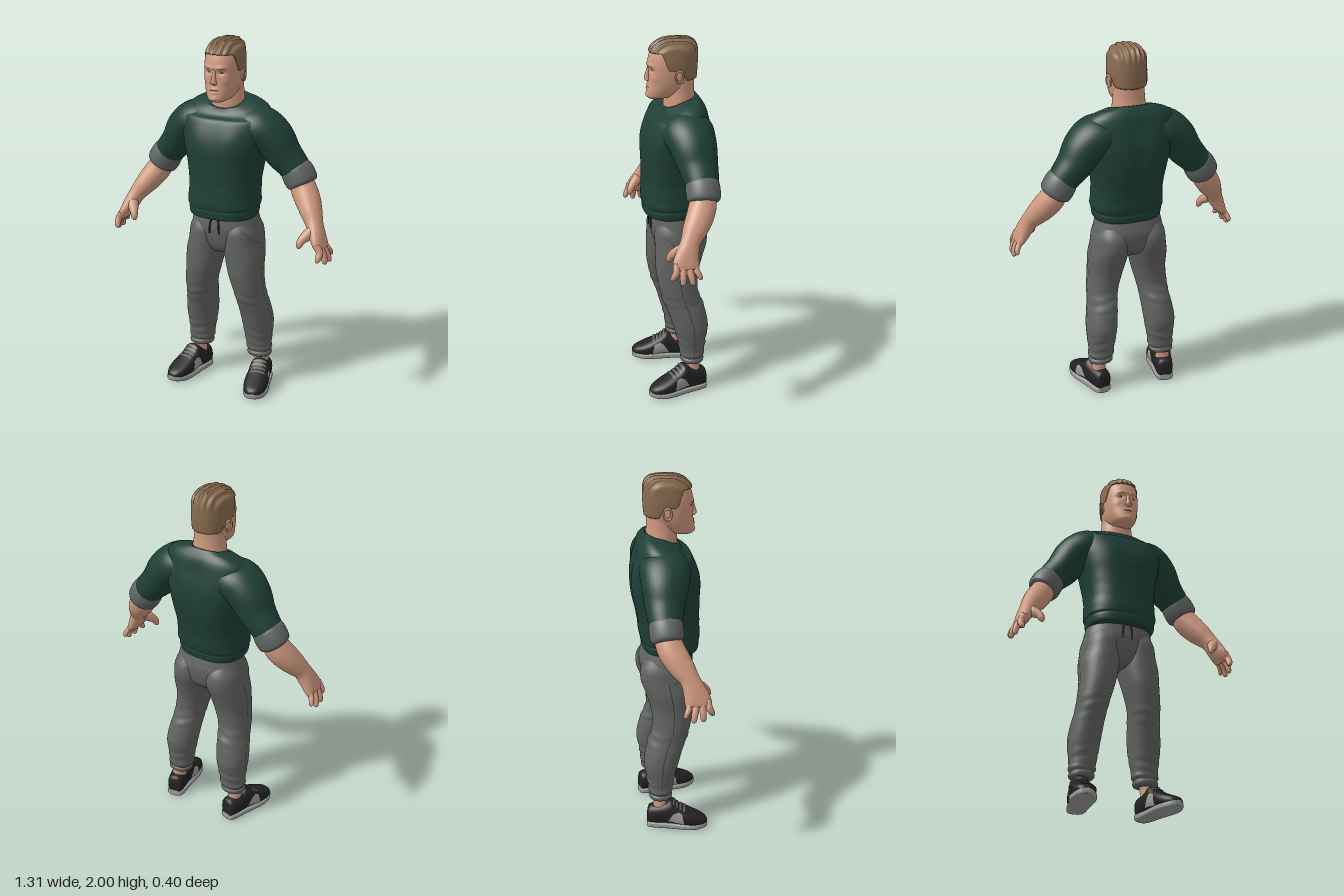
import * as THREE from 'three';

const { smoothstep, lerp, degToRad } = THREE.MathUtils;
const mat = (name, color) => { const m = new THREE.MeshStandardMaterial({ color }); m.name = name; return m; };
const M = {
  skin: mat('skin', 0xd09a80), lip: mat('lip', 0xbd7e6b), hair: mat('hair', 0x8a6d50),
  sweater: mat('sweater green', 0x1f4037), cuff: mat('cuff grey', 0x616665), pants: mat('pants grey', 0x626462),
  seam: mat('seam dark', 0x303231), shoe: mat('shoe black', 0x222222), sole: mat('sole light grey', 0x9c9c9c),
  eye: mat('eye white', 0xcfc4ba),
};
const Y = new THREE.Vector3(0, 1, 0), DOWN = new THREE.Vector3(0, -1, 0), Z = new THREE.Vector3(0, 0, 1);
const bell = (d, w) => Math.exp(-(d * d) / (w * w));

// Surface through sections [x, y, z, ru, rv]: returns f(section index, angle, offset)
function surface(S, { t, v = Z, p = 2, deform } = {}) {
  const at = k => {
    const i = Math.min(Math.floor(k), S.length - 2), a = k - i;
    const P = j => S[Math.max(0, Math.min(S.length - 1, j))];
    return S[0].map((_, c) => {
      const [p0, p1, p2, p3] = [P(i - 1)[c], P(i)[c], P(i + 1)[c], P(i + 2)[c]];
      return p1 + 0.5 * a * (p2 - p0 + a * (2 * p0 - 5 * p1 + 4 * p2 - p3 + a * (3 * (p1 - p2) + p3 - p0)));
    });
  };
  const pw = x => Math.sign(x) * Math.abs(x) ** (2 / p);
  const f = (k, th, off = 0) => {
    const s = at(k), c = new THREE.Vector3(s[0], s[1], s[2]);
    const T = t ? t.clone() : new THREE.Vector3(...at(Math.min(k + 0.05, S.length - 1)).slice(0, 3))
      .sub(new THREE.Vector3(...at(Math.max(k - 0.05, 0)).slice(0, 3))).normalize();
    const V = v.clone().addScaledVector(T, -v.dot(T)).normalize(), U = T.clone().cross(V);
    c.addScaledVector(U, pw(Math.cos(th)) * (s[3] + off)).addScaledVector(V, pw(Math.sin(th)) * (s[4] + off));
    if (deform) deform(c);
    return c;
  };
  f.last = S.length - 1;
  return f;
}

function indexed(pos, idx) {
  const g = new THREE.BufferGeometry();
  g.setAttribute('position', new THREE.Float32BufferAttribute(pos, 3));
  g.setIndex(idx);
  g.computeVertexNormals();
  return g;
}

// Closed skin over a surface, with end caps
function loft(f, n = 36, step = 5) {
  const pos = [], idx = [], rows = f.last * step;
  for (let i = 0; i <= rows; i++)
    for (let j = 0; j < n; j++) pos.push(...f(i / step, (j / n) * Math.PI * 2).toArray());
  for (let i = 0; i < rows; i++)
    for (let j = 0; j < n; j++) {
      const a = i * n + j, c = i * n + (j + 1) % n;
      idx.push(a, a + n, c, a + n, c + n, c);
    }
  for (const r of [0, rows]) {
    const mid = new THREE.Vector3(), m = pos.length / 3;
    for (let j = 0; j < n; j++) mid.add(new THREE.Vector3().fromArray(pos, (r * n + j) * 3));
    pos.push(...mid.divideScalar(n).toArray());
    for (let j = 0; j < n; j++) {
      const a = r * n + j, c = r * n + (j + 1) % n;
      r ? idx.push(m, a, c) : idx.push(m, c, a);
    }
  }
  for (let i = rows * n * 6; i < idx.length; i += 3) [idx[i], idx[i + 1]] = [idx[i + 1], idx[i]];
  return indexed(pos, idx);
}

// Thin piece lying on a surface between two angles and two section indices
function patch(f, th0, th1, k0, k1, off = 0.003, n = 16, rows = 8) {
  const pos = [], idx = [], val = (q, th) => (typeof q === 'function' ? q(th) : q);
  for (let i = 0; i <= rows; i++)
    for (let j = 0; j <= n; j++) {
      const th = lerp(th0, th1, j / n);
      pos.push(...f(lerp(val(k0, th), val(k1, th), i / rows), th, val(off, i)).toArray());
    }
  for (let i = 0; i < rows; i++)
    for (let j = 0; j < n; j++) {
      const a = i * (n + 1) + j, b = a + n + 1;
      idx.push(a, b, a + 1, b, b + 1, a + 1);
    }
  return indexed(pos, idx);
}

function mirrored(g) {
  const m = g.clone().scale(-1, 1, 1), ix = m.index.array;
  for (let i = 0; i < ix.length; i += 3) [ix[i], ix[i + 1]] = [ix[i + 1], ix[i]];
  return m;
}

const tube = (pts, r) => new THREE.TubeGeometry(new THREE.CatmullRomCurve3(pts.map(q => new THREE.Vector3(...q))), 14, r, 8);
const ball = (x, y, z, a, b, c) => new THREE.SphereGeometry(1, 20, 14).scale(a, b, c).translate(x, y, z);

export function createModel() {
  const model = new THREE.Group();
  model.name = 'standingMan';
  const add = (name, g, m) => { const o = new THREE.Mesh(g, m); o.name = name; model.add(o); };
  const pair = (name, g, m) => { add(name + 'Left', g, m); add(name + 'Right', mirrored(g), m); };

  // Head, sculpted with soft bumps [x, y, depth, width, height]
  const bumps = [[0.038, 1.832, -0.012, 0.02, 0.012], [0.035, 1.857, 0.006, 0.03, 0.011], [0.062, 1.79, 0.005, 0.02, 0.02],
    [0, 1.692, 0.005, 0.025, 0.014], [0, 1.744, 0.005, 0.022, 0.006], [0, 1.726, 0.005, 0.02, 0.006], [0, 1.735, -0.004, 0.028, 0.003]];
  const head = surface([[0, 1.672, 0.095, 0.034, 0.036], [0, 1.685, 0.07, 0.057, 0.076], [0, 1.71, 0.043, 0.074, 0.104],
    [0, 1.75, 0.021, 0.088, 0.121], [0, 1.80, 0.012, 0.096, 0.127], [0, 1.85, 0.01, 0.098, 0.13], [0, 1.90, 0.006, 0.095, 0.127],
    [0, 1.94, 0.001, 0.085, 0.115], [0, 1.97, -0.004, 0.062, 0.086], [0, 1.985, -0.008, 0.03, 0.045]],
  { t: Y, p: 2.3, deform: q => {
    if (q.z < 0.04) return;
    const { x, y } = q;
    for (const [bx, by, d, w, h] of bumps) q.z += d * bell(Math.abs(x) - bx, w) * bell(y - by, h);
  } });
  add('head', loft(head, 112, 8), M.skin);
  add('nose', loft(surface([[0, 1.85, 0.132, 0.009, 0.01], [0, 1.815, 0.14, 0.01, 0.012], [0, 1.79, 0.145, 0.014, 0.015],
    [0, 1.776, 0.142, 0.019, 0.016], [0, 1.767, 0.137, 0.011, 0.01]], { t: DOWN }), 24, 4), M.skin);
  add('lips', patch(head, degToRad(76), degToRad(104), 2.5, 2.78, 0.001), M.lip);
  pair('eyebrow', patch(head, degToRad(56), degToRad(81), 5.02, 5.14, 0.0015), M.hair);
  pair('eye', ball(0.037, 1.832, 0.118, 0.012, 0.0045, 0.009), M.eye);
  pair('iris', ball(0.037, 1.832, 0.1235, 0.004, 0.0042, 0.0045), M.seam);
  pair('ear', ball(0.1, 1.803, -0.006, 0.011, 0.034, 0.021), M.skin);
  pair('earRim', new THREE.TorusGeometry(0.021, 0.005, 8, 24).rotateY(Math.PI / 2 + 0.2).scale(1, 1.45, 1).translate(0.106, 1.806, -0.009), M.skin);
  add('neck', loft(surface([[0, 1.58, -0.03, 0.1, 0.085], [0, 1.66, -0.03, 0.093, 0.085], [0, 1.72, -0.03, 0.086, 0.08],
    [0, 1.79, -0.035, 0.082, 0.075]], { t: Y })), M.skin);

  // Slicked-back hair with ridged locks and a shaped hairline
  const hair = surface([[0, 1.77, 0.004, 0.097, 0.126], [0, 1.84, 0.005, 0.101, 0.133], [0, 1.90, 0.004, 0.099, 0.133],
    [0, 1.94, 0.0, 0.092, 0.126], [0, 1.97, -0.008, 0.074, 0.103], [0, 1.988, -0.014, 0.047, 0.07], [0, 1.996, -0.014, 0.001, 0.001]],
  { t: Y, p: 2.3, deform: q => {
    const a = 0.035 * Math.cos(q.x * 210 + Math.sin(q.z * 14) * 0.8) * smoothstep(q.y, 1.89, 1.96);
    q.set(q.x * (1 + a), 1.85 + (q.y - 1.85) * (1 + a), q.z * (1 + a));
  } });
  const hairline = th => {
    const s = Math.sin(th);
    return s > 0 ? lerp(0.8, 2.5, smoothstep(s, 0.2, 0.6)) : lerp(0.8, 0.08, smoothstep(-s, 0.1, 0.5));
  };
  add('hair', patch(hair, 0, Math.PI * 2, hairline, 6, i => (i ? 0 : -0.012), 144, 44), M.hair);

  // Sweater body with dipped collar, chest, spine crease and waist folds
  add('sweaterBody', loft(surface([[0, 1.022, 0.015, 0.17, 0.14], [0, 1.03, 0.015, 0.186, 0.153], [0, 1.06, 0.014, 0.192, 0.158],
    [0, 1.075, 0.014, 0.19, 0.157], [0, 1.10, 0.012, 0.199, 0.165], [0, 1.21, 0.003, 0.194, 0.171], [0, 1.32, -0.009, 0.208, 0.184],
    [0, 1.40, -0.013, 0.226, 0.188], [0, 1.48, -0.019, 0.245, 0.179], [0, 1.56, -0.024, 0.255, 0.155], [0, 1.61, -0.031, 0.24, 0.13],
    [0, 1.642, -0.03, 0.198, 0.108], [0, 1.66, -0.028, 0.142, 0.096], [0, 1.667, -0.028, 0.108, 0.092], [0, 1.662, -0.028, 0.09, 0.08]],
  { t: Y, p: 2.5, deform: q => {
    const { x, y, z } = q, low = 1 - smoothstep(y, 1.15, 1.32);
    if (z > 0) q.z += 0.006 * bell(Math.abs(x) - 0.1, 0.07) * bell(y - 1.47, 0.08);
    else q.z += 0.008 * bell(x, 0.04) * smoothstep(y, 1.1, 1.4) * (1 - smoothstep(y, 1.55, 1.65));
    const w = 1 + 0.006 * low * smoothstep(y, 1.07, 1.1) * Math.sin(y * 85 + x * 11 + z * 5);
    q.x *= w; q.z *= w;
    q.y -= smoothstep(y, 1.56, 1.66) * (z + 0.028) * (z > -0.028 ? 0.45 : 0.25);
  } }), 72, 6), M.sweater);

  // Sleeves and rolled cuffs
  pair('sleeve', loft(surface([[0.08, 1.54, -0.035, 0.08, 0.12], [0.18, 1.525, -0.035, 0.112, 0.138], [0.258, 1.473, -0.045, 0.11, 0.126],
    [0.316, 1.39, -0.055, 0.097, 0.108], [0.365, 1.335, -0.06, 0.086, 0.094], [0.405, 1.285, -0.06, 0.08, 0.084]])), M.sweater);
  pair('sleeveCuff', loft(surface([[0.384, 1.318, -0.06, 0.07, 0.074], [0.388, 1.312, -0.06, 0.084, 0.087], [0.41, 1.275, -0.06, 0.09, 0.091],
    [0.432, 1.238, -0.058, 0.086, 0.087], [0.439, 1.226, -0.057, 0.068, 0.072]])), M.cuff);

  // Forearms running into the palms
  pair('forearmAndPalm', loft(surface([[0.41, 1.27, -0.06, 0.06, 0.066], [0.445, 1.205, -0.048, 0.068, 0.072], [0.483, 1.15, -0.02, 0.066, 0.071],
    [0.518, 1.1, 0.014, 0.056, 0.063], [0.547, 1.055, 0.042, 0.045, 0.052], [0.572, 1.005, 0.062, 0.04, 0.06], [0.594, 0.962, 0.075, 0.032, 0.069],
    [0.609, 0.935, 0.079, 0.023, 0.067], [0.614, 0.926, 0.079, 0.012, 0.055]], { p: 2.15 })), M.skin);
  const fingers = [[0.13, 0.614, 0.886, 0.15], [0.097, 0.636, 0.865, 0.1], [0.062, 0.64, 0.864, 0.05], [0.028, 0.634, 0.888, 0.008]];
  fingers.forEach(([z, x, y, z2], i) => {
    const r = i === 3 ? 0.0145 : 0.017, bx = 0.604;
    pair('finger' + (i + 1), loft(surface([[bx - 0.006, 0.965, z, r, r], [bx + 0.012, 0.93, z, r * 1.1, r * 1.1],
      [lerp(bx + 0.02, x, 0.6), lerp(0.93, y, 0.55), lerp(z, z2, 0.6), r, r], [x, y, z2, r * 0.8, r * 0.8],
      [x + 0.001, y - 0.008, z2, r * 0.35, r * 0.35]]), 14, 4), M.skin);
  });
  pair('thumb', loft(surface([[0.562, 1.035, 0.065, 0.03, 0.03], [0.535, 1.005, 0.104, 0.03, 0.029], [0.513, 0.978, 0.133, 0.022, 0.021],
    [0.505, 0.953, 0.144, 0.017, 0.017], [0.502, 0.938, 0.148, 0.007, 0.007]]), 16, 4), M.skin);

  // Trousers: hips, legs, side seams, pockets and drawstrings
  add('hips', loft(surface([[0, 1.06, -0.005, 0.175, 0.125], [0, 1.0, -0.01, 0.189, 0.136], [0, 0.95, -0.013, 0.197, 0.142],
    [0, 0.87, -0.013, 0.185, 0.128], [0, 0.82, -0.005, 0.11, 0.095], [0, 0.80, -0.002, 0.035, 0.05]], { t: DOWN, p: 2.3 }), 48), M.pants);
  const leg = surface([[0.095, 1.0, -0.012, 0.085, 0.11], [0.102, 0.94, -0.016, 0.1, 0.142], [0.108, 0.87, -0.015, 0.104, 0.144],
    [0.118, 0.80, -0.003, 0.107, 0.132], [0.13, 0.70, 0.01, 0.096, 0.117], [0.148, 0.60, 0.004, 0.087, 0.105], [0.157, 0.53, -0.018, 0.083, 0.108],
    [0.166, 0.47, -0.038, 0.086, 0.104], [0.175, 0.39, -0.056, 0.087, 0.098], [0.178, 0.32, -0.06, 0.081, 0.082],
    [0.181, 0.25, -0.062, 0.072, 0.07], [0.183, 0.222, -0.062, 0.074, 0.068], [0.184, 0.206, -0.062, 0.063, 0.06],
    [0.185, 0.195, -0.062, 0.069, 0.065], [0.186, 0.178, -0.062, 0.067, 0.062], [0.187, 0.172, -0.062, 0.05, 0.048]],
  { t: DOWN, p: 2.15, deform: q => {
    const fold = bell(q.y - 0.55, 0.06) + bell(q.y - 0.29, 0.05);
    q.z += 0.003 * fold * Math.sin(q.y * 110 + q.x * 25);
  } });
  pair('trouserLeg', loft(leg, 44, 6), M.pants);
  pair('legSeam', patch(leg, Math.PI - 0.012, Math.PI + 0.012, 2, 11.5, 0.001, 2, 60), M.seam);
  const pocket = th => lerp(0.8, 1.9, smoothstep(th, degToRad(118), degToRad(172)));
  pair('pocketSeam', patch(leg, degToRad(118), degToRad(172), pocket, th => pocket(th) + 0.045, 0.002, 24, 1), M.seam);
  for (const x of [-0.03, 0.022])
    add('drawstring', tube([[x * 0.6, 1.03, 0.13], [x, 0.99, 0.135], [x * 1.1, 0.935, 0.136]], 0.005), M.seam);

  // Ankles and trainers, toes turned out
  pair('ankle', loft(surface([[0.19, 0.21, -0.063, 0.042, 0.042], [0.197, 0.15, -0.064, 0.039, 0.041], [0.2, 0.09, -0.06, 0.042, 0.046]])), M.skin);
  const place = g => g.rotateY(degToRad(12)).translate(0.203, 0, -0.062);
  const profile = [[-0.077, 0.026, 0.1], [-0.065, 0.044, 0.126], [-0.025, 0.051, 0.135], [0.025, 0.054, 0.15], [0.058, 0.057, 0.168],
    [0.1, 0.062, 0.135], [0.15, 0.067, 0.108], [0.2, 0.061, 0.085], [0.242, 0.041, 0.066], [0.26, 0.019, 0.05]];
  const upper = surface(profile.map(([z, w, top]) => [0, (top + 0.015) / 2, z, w, (top - 0.015) / 2]), { t: Z, v: Y, p: 2.5 });
  const sole = surface(profile.map(([z, w], i) => [0, 0.018 + (i > 7 ? 0.004 * (i - 7) : 0), z * 1.01, w + 0.002, i > 7 ? 0.018 - 0.002 * (i - 7) : 0.018]),
    { t: Z, v: Y, p: 4.5 });
  pair('shoeUpper', place(loft(upper, 36, 4)), M.shoe);
  pair('shoeSole', place(loft(sole, 36, 4)), M.sole);
  const rise = th => (Math.sin(th) + 0.52) / 0.95;
  for (const mid of [0, Math.PI])
    pair('shoePanel', place(patch(upper, mid - 0.55, mid + 0.45, th => 3.4 + 1.5 * rise(th), th => 5.8 - 0.3 * rise(th), 0.003)), M.sole);
  for (let i = 0; i < 4; i++)
    pair('lace', place(patch(upper, degToRad(55), degToRad(125), 4.3 + i * 0.42, 4.5 + i * 0.42, 0.004, 10, 2)), M.cuff);

  return model;
}
